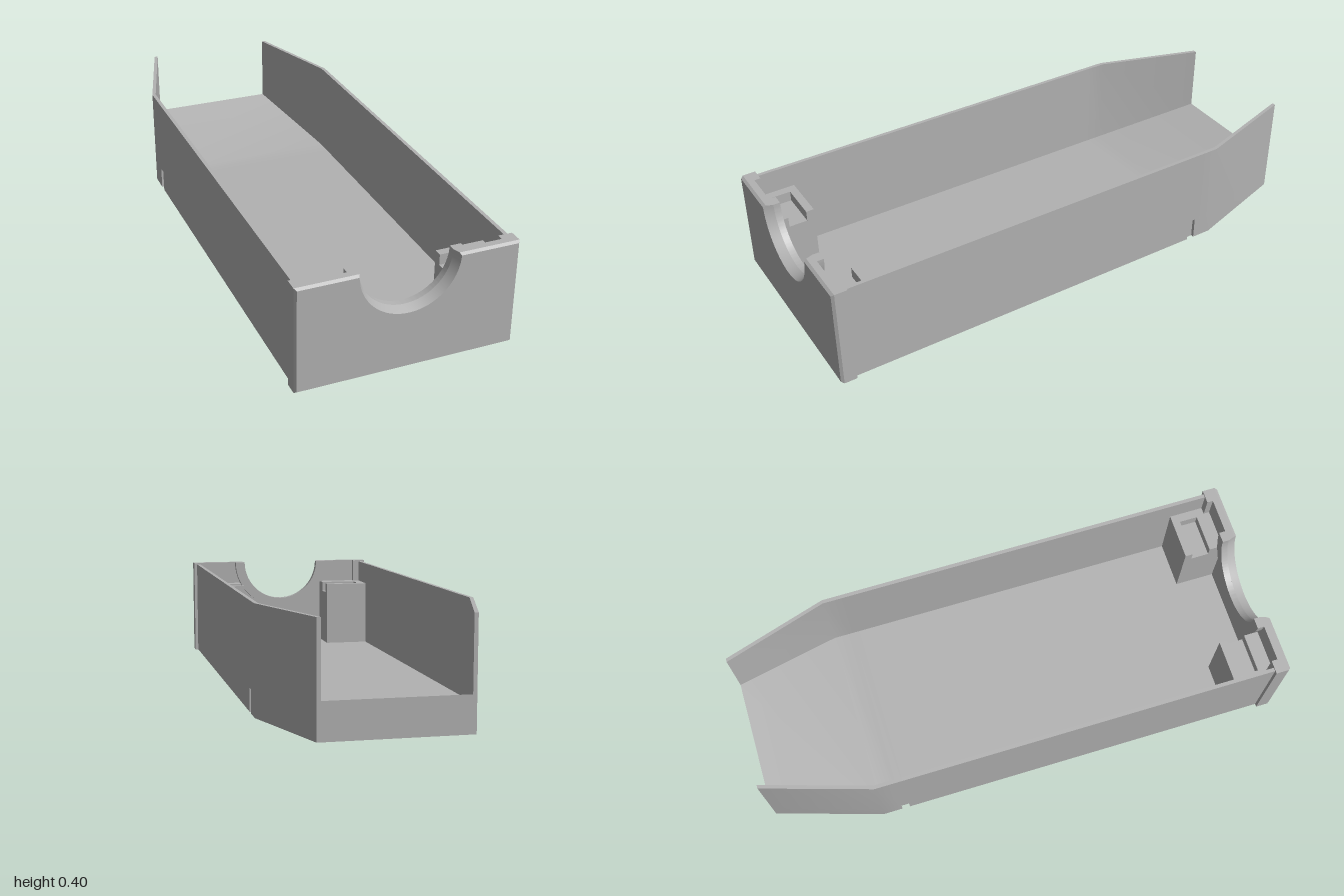
import * as THREE from 'three';
import { toCreasedNormals } from 'three/addons/utils/BufferGeometryUtils.js';

const grey = new THREE.MeshStandardMaterial({ color: 0xb2b2b2 });
grey.name = 'grey plastic';

// Skins matching counter-clockwise sections from front (+z) to back and caps both ends
function loft(stations) {
  const out = [];
  const tri = (a, b, c) => {
    const n = new THREE.Vector3().subVectors(b, a).cross(new THREE.Vector3().subVectors(c, a));
    if (n.length() > 1e-9) for (const p of [a, b, c]) out.push(p.x, p.y, p.z);
  };
  const rings = stations.map(({ z, pts }) => pts.map(([x, y]) => new THREE.Vector3(x, y, z)));
  for (let s = 0; s < rings.length - 1; s++) {
    const a = rings[s], b = rings[s + 1];
    for (let i = 0; i < a.length; i++) {
      const j = (i + 1) % a.length;
      tri(a[i], b[i], a[j]);
      tri(a[j], b[i], b[j]);
    }
  }
  const cap = (ring, flip) => {
    const flat = ring.map((p) => new THREE.Vector2(p.x, p.y));
    for (const [i, j, k] of THREE.ShapeUtils.triangulateShape(flat, [])) {
      if (flip) tri(ring[i], ring[k], ring[j]);
      else tri(ring[i], ring[j], ring[k]);
    }
  };
  cap(rings[0], false);
  cap(rings[rings.length - 1], true);
  const geo = new THREE.BufferGeometry();
  geo.setAttribute('position', new THREE.Float32BufferAttribute(out, 3));
  return toCreasedNormals(geo, 0.5);
}

// U-shaped tray section: half width w, floor height f, side groove depth g
function traySection(w, f, g = 0) {
  const t = 0.014, top = 0.39, grooveTop = 0.085;
  const half = [[w - g, 0], [w - g, grooveTop], [w, grooveTop], [w, top], [w - t, top], [w - t, f]];
  return [...half, ...half.map(([x, y]) => [-x, y]).reverse()];
}

// Front plate outline with a half-round cut-out of radius r, inset by i
function plateOutline(i, r) {
  const X = 0.397, H = 0.395, n = 40;
  const pts = [[-X + i, i], [X - i, i], [X - i, H - i]];
  const start = Math.asin(i / r);
  for (let k = 0; k <= n; k++) {
    const a = start + (Math.PI - 2 * start) * k / n;
    pts.push([r * Math.cos(a), H - r * Math.sin(a)]);
  }
  pts.push([-X + i, H - i]);
  return pts;
}

export function createModel() {
  const model = new THREE.Group();
  model.name = 'openTray';
  const add = (parent, name, geo) => {
    const mesh = new THREE.Mesh(geo, grey);
    mesh.name = name;
    parent.add(mesh);
    return mesh;
  };
  // Box given by its limits; side mirrors it across x
  const addBox = (parent, name, side, [x0, x1], [y0, y1], [z0, z1]) => {
    const box = add(parent, name, new THREE.BoxGeometry(x1 - x0, y1 - y0, z1 - z0));
    box.position.set(side * (x0 + x1) / 2, (y0 + y1) / 2, (z0 + z1) / 2);
  };

  // Tray with tapered rear, floor ramp and a small groove on each side
  const W = 0.385, F = 0.03;
  add(model, 'tray', loft([
    { z: 0.965, pts: traySection(W, F) },
    { z: -0.495, pts: traySection(W, F) },
    { z: -0.495, pts: traySection(W, F, 0.012) },
    { z: -0.525, pts: traySection(W, F, 0.012) },
    { z: -0.525, pts: traySection(W, F) },
    { z: -0.6, pts: traySection(W, F) },
    { z: -1, pts: traySection(0.26, 0.13) },
  ]));

  // Chamfered front plate with flared half-round opening
  add(model, 'frontPlate', loft([
    { z: 1, pts: plateOutline(0.007, 0.18) },
    { z: 0.99, pts: plateOutline(0, 0.176) },
    { z: 0.965, pts: plateOutline(0, 0.167) },
  ]));

  // Raised rim behind the opening
  const rim = new THREE.Shape();
  rim.absarc(0, 0.395, 0.208, Math.PI, 2 * Math.PI, false);
  rim.absarc(0, 0.395, 0.167, 2 * Math.PI, Math.PI, true);
  const rimGeo = new THREE.ExtrudeGeometry(rim, { depth: 0.025, bevelEnabled: false, curveSegments: 40 });
  add(model, 'openingRim', toCreasedNormals(rimGeo, 0.5)).position.z = 0.94;

  for (const side of [1, -1]) {
    const label = side > 0 ? 'left' : 'right';
    addBox(model, label + 'CornerPillar', side, [0.345, 0.397], [0, 0.395], [0.942, 0.966]);

    // Post with a slot open at the top and towards the middle
    const post = new THREE.Group();
    post.name = label + 'Post';
    model.add(post);
    addBox(post, 'postBase', side, [0.19, 0.372], [0.02, 0.26], [0.81, 0.966]);
    addBox(post, 'slotRearWall', side, [0.19, 0.372], [0.26, 0.3], [0.81, 0.84]);
    addBox(post, 'slotFrontWall', side, [0.19, 0.372], [0.26, 0.3], [0.91, 0.966]);
    addBox(post, 'slotOuterWall', side, [0.338, 0.372], [0.26, 0.3], [0.84, 0.91]);
  }
  return model;
}
